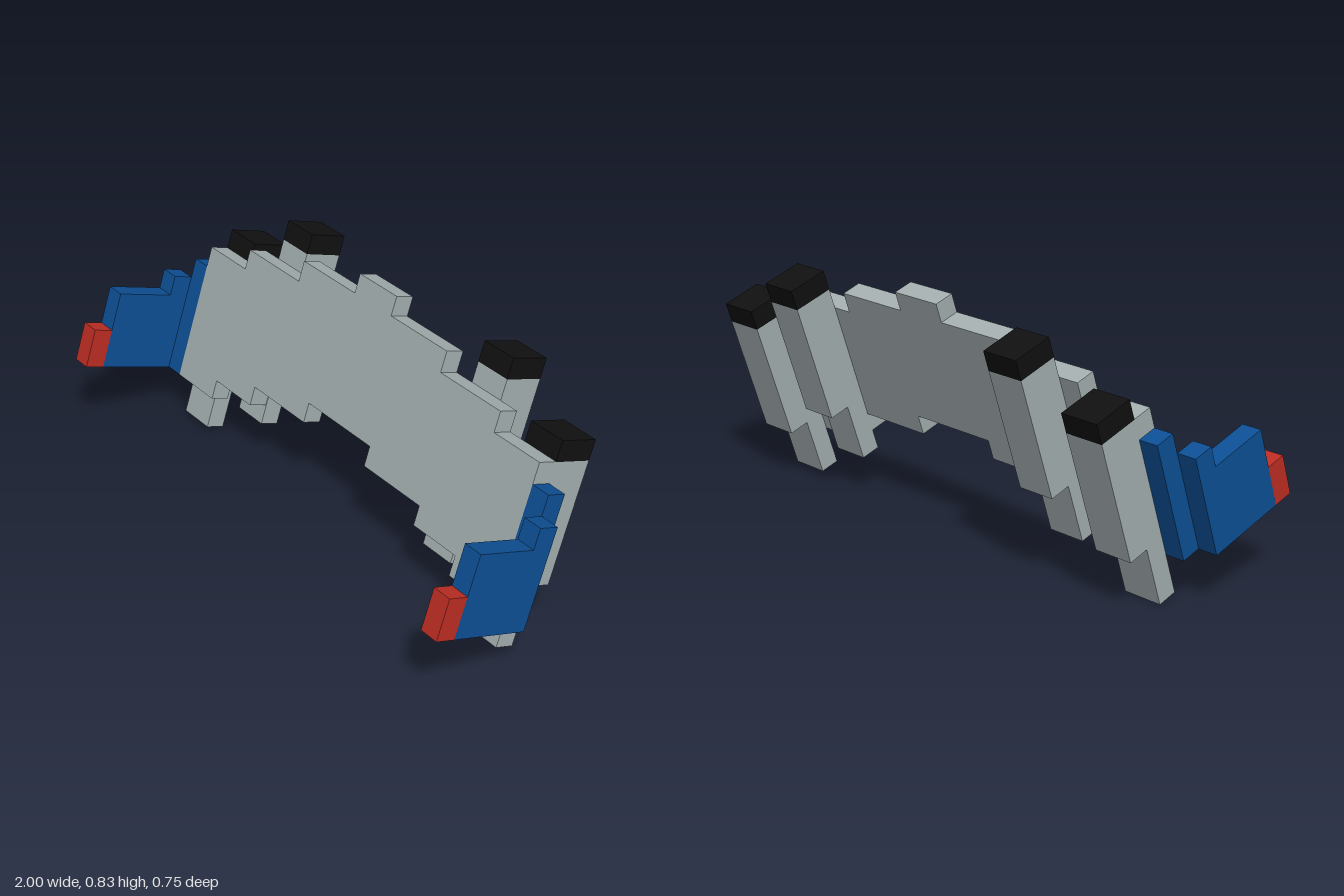
import * as THREE from 'three';

const grey = new THREE.MeshStandardMaterial({ color: 0xa5b0b1 });
const blue = new THREE.MeshStandardMaterial({ color: 0x0d5096 });
const red = new THREE.MeshStandardMaterial({ color: 0xbe2e23 });
const black = new THREE.MeshStandardMaterial({ color: 0x101010 });
grey.name = 'panel grey';
blue.name = 'side blue';
red.name = 'tip red';
black.name = 'cap black';

// Extrude a flat outline by depth along its own z axis
function plate(name, points, depth, material) {
  const shape = new THREE.Shape(points.map(([x, y]) => new THREE.Vector2(x, y)));
  const geometry = new THREE.ExtrudeGeometry(shape, { depth, bevelEnabled: false });
  const mesh = new THREE.Mesh(geometry, material);
  mesh.name = name;
  return mesh;
}

// Extrude a (z, y) side profile across x0..x1
function sidePlate(name, profile, x0, x1, material) {
  const mesh = plate(name, profile.map(([z, y]) => [-z, y]), x1 - x0, material);
  mesh.rotation.y = Math.PI / 2;
  mesh.position.x = x0;
  return mesh;
}

function box(name, [x0, x1], [y0, y1], [z0, z1], material) {
  const mesh = new THREE.Mesh(new THREE.BoxGeometry(x1 - x0, y1 - y0, z1 - z0), material);
  mesh.name = name;
  mesh.position.set((x0 + x1) / 2, (y0 + y1) / 2, (z0 + z1) / 2);
  return mesh;
}

export function createModel() {
  const model = new THREE.Group();
  model.name = 'steppedArch';

  // Everything is built upright, then leaned back
  const body = new THREE.Group();
  body.name = 'leaningBody';
  body.rotation.x = -THREE.MathUtils.degToRad(18.5);
  model.add(body);

  const back = 0.03, front = 0.098;

  // Stepped arch panel: right half outline, mirrored
  const half = [
    [0.165, 0.36], [0.165, 0.291], [0.448, 0.291], [0.448, 0.224], [0.652, 0.224], [0.652, 0.156],
    [0.86, 0.156], [0.86, 0.637], [0.655, 0.637], [0.655, 0.706], [0.372, 0.706], [0.372, 0.777],
    [0.095, 0.777], [0.095, 0.843],
  ];
  const mirrored = half.map(([x, y]) => [-x, y]).reverse();
  const panel = plate('archPanel', [...half, ...mirrored], front - back, grey);
  panel.position.z = back;
  body.add(panel);

  for (const [side, s] of [['left', 1], ['right', -1]]) {
    const span = (a, b) => (s > 0 ? [a, b] : [-b, -a]);

    // Rear posts with a thin foot and a black cap; the inner one sits higher
    for (const [kind, xs, y] of [['Outer', span(0.72, 0.86), 0.0155], ['Inner', span(0.445, 0.58), 0.155]]) {
      const post = new THREE.Group();
      post.name = `${side}${kind}Post`;
      post.add(
        sidePlate('postShaft', [
          [back, y], [back, y + 0.62], [-0.11, y + 0.62], [-0.11, y + 0.204], [-0.038, y + 0.204], [-0.038, y],
        ].reverse(), ...xs, grey),
        box('postCap', xs, [y + 0.62, y + 0.689], [-0.11, back], black),
      );
      body.add(post);
    }

    // Blue side strip, forward wing and red tip
    body.add(box(`${side}SideStrip`, span(0.86, 0.93), [0.156, 0.566], [back, front], blue));
    const wing = [
      [front, 0.155], [0.377, 0.155], [0.377, 0.428], [0.168, 0.428], [0.168, 0.498], [front, 0.498],
    ];
    body.add(sidePlate(`${side}Wing`, wing, ...span(0.93, 1), blue));
    body.add(box(`${side}WingTip`, span(0.93, 1), [0.155, 0.293], [0.377, 0.446], red));
  }
  return model;
}
